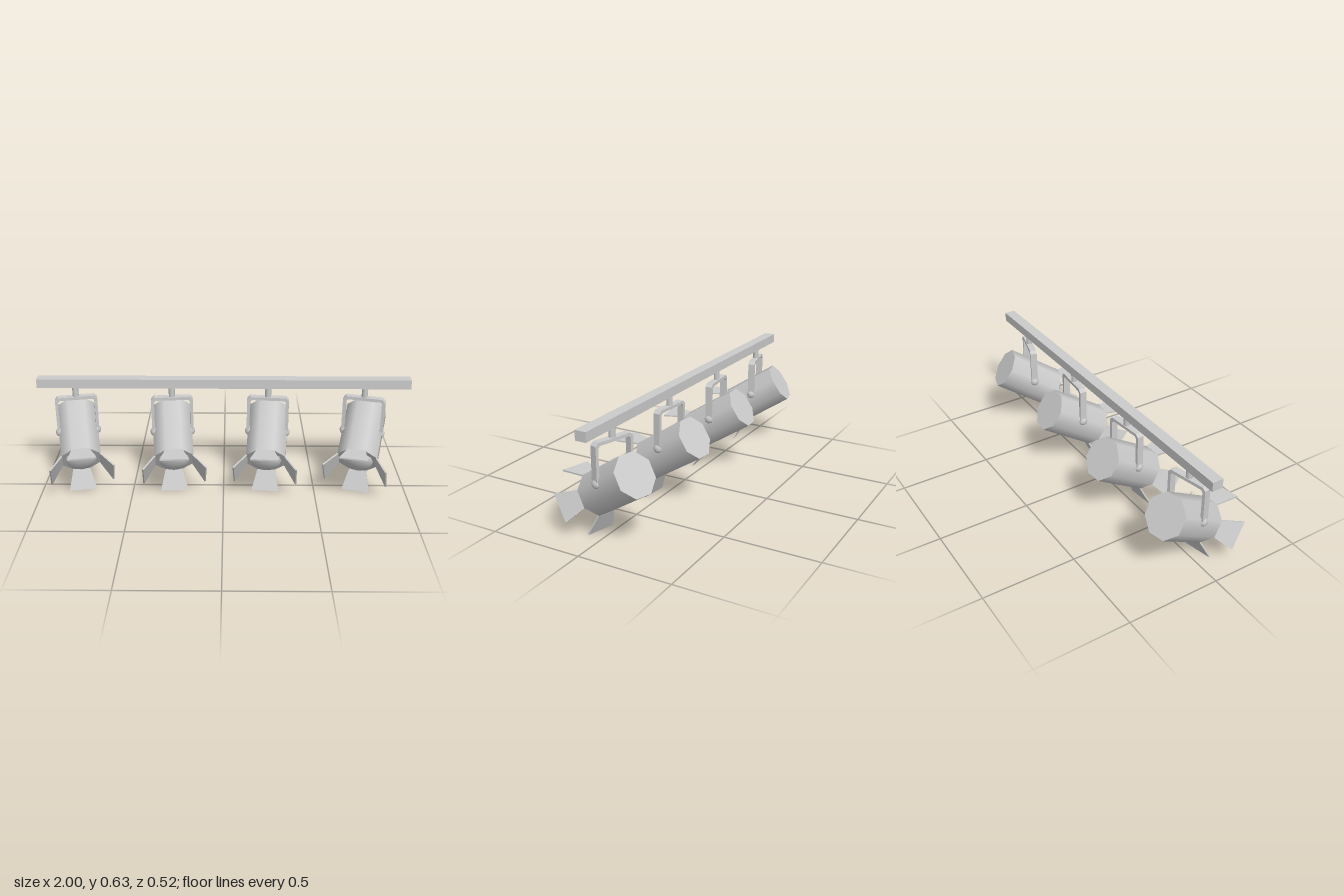
import * as THREE from 'three';

const mat = new THREE.MeshStandardMaterial({ color: 0xcccccc });
const rad = THREE.MathUtils.degToRad;
const RAIL_Z = -0.045, PIVOT_Y = 0.315;
const R = 0.115, FLAT = R * Math.cos(Math.PI / 8), LENGTH = 0.33;

function add(parent, name, geometry, x = 0, y = 0, z = 0) {
  const mesh = new THREE.Mesh(geometry, mat);
  mesh.name = name;
  mesh.position.set(x, y, z);
  parent.add(mesh);
  return mesh;
}

// Plate cut from an outline in the xy plane, centred in z
function plate(points, depth) {
  const shape = new THREE.Shape(points.map(([x, y]) => new THREE.Vector2(x, y)));
  return new THREE.ExtrudeGeometry(shape, { depth, bevelEnabled: false }).translate(0, 0, -depth / 2);
}

// U-shaped bracket with chamfered corners, origin at the pivot
function yokeGeometry() {
  const o = 0.113, i = 0.097, top = 0.206, c = 0.016, t = 0.017;
  const half = [[o, 0], [o, top - c], [o - c, top]];
  const inner = [[i - c * 0.7, top - t], [i, top - t - c * 0.7], [i, 0]];
  const flip = (pts) => pts.map(([x, y]) => [-x, y]).reverse();
  return plate([...half, ...flip(half), ...flip(inner), ...inner], 0.037);
}

// Barrel, lens and four flared flaps
function buildHead() {
  const head = new THREE.Group();
  head.name = 'lampHead';
  const body = new THREE.Group();
  body.position.y = -0.033;
  head.add(body);

  add(body, 'barrel', new THREE.CylinderGeometry(R, R, LENGTH, 8)
    .rotateY(Math.PI / 8).rotateX(Math.PI / 2));
  add(body, 'lens', new THREE.SphereGeometry(0.085, 12, 8).rotateX(Math.PI / 2).scale(1, 1, 0.5),
    0, 0, LENGTH / 2);

  const flap = plate([[-0.047, 0], [0.047, 0], [0.076, 0.118], [-0.076, 0.118]], 0.008);
  ['topFlap', 'rightFlap', 'bottomFlap', 'leftFlap'].forEach((name, k) => {
    const hinge = new THREE.Group();
    hinge.rotation.z = k * Math.PI / 2;
    add(hinge, name, flap, 0, FLAT - 0.003, LENGTH / 2).rotation.x = rad(57);
    body.add(hinge);
  });
  head.rotation.x = rad(33);
  return head;
}

function buildLamp(x, yaw) {
  const lamp = new THREE.Group();
  lamp.name = 'spotlight';
  lamp.position.set(x, PIVOT_Y, RAIL_Z);
  lamp.rotation.y = rad(yaw);
  add(lamp, 'stem', new THREE.CylinderGeometry(0.0165, 0.0165, 0.064, 8), 0, 0.232, 0);
  add(lamp, 'yoke', yokeGeometry());
  for (const s of [-1, 1]) {
    add(lamp, 'pivotKnob', new THREE.SphereGeometry(0.026, 8, 6)
      .rotateZ(Math.PI / 2).scale(0.8, 1, 1), s * 0.102, 0, 0);
  }
  lamp.add(buildHead());
  return lamp;
}

export function createModel() {
  const model = new THREE.Group();
  model.name = 'trackLight';
  add(model, 'rail', new THREE.BoxGeometry(2, 0.05, 0.059), 0, 0.602, RAIL_Z);
  [12, 5, -5, -16].forEach((yaw, i) => model.add(buildLamp(-0.8 + i * 0.52, yaw)));
  return model;
}
